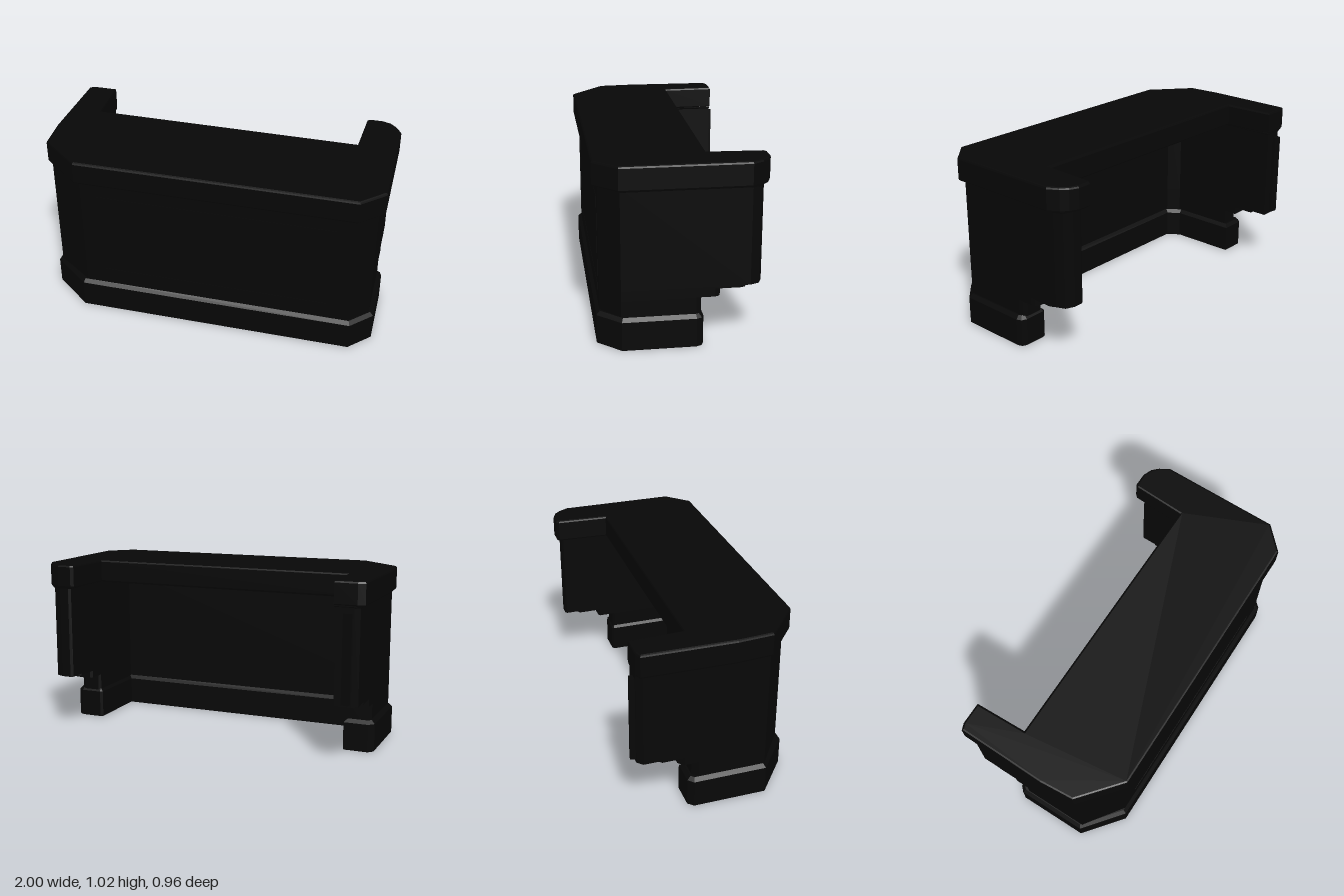
import * as THREE from 'three';

const material = new THREE.MeshStandardMaterial({ color: 0x070707 });

// Horizontal slab from a plan outline of [x, z] points, between two heights.
// The bevel stays inside the outline.
function slab(name, plan, y0, y1, bevel = 0, segments = 2) {
  const shape = new THREE.Shape(plan.map(([x, z]) => new THREE.Vector2(x, -z)));
  const geometry = new THREE.ExtrudeGeometry(shape, {
    depth: y1 - y0 - 2 * bevel,
    bevelEnabled: bevel > 0,
    bevelSize: bevel,
    bevelThickness: bevel,
    bevelOffset: -bevel,
    bevelSegments: segments,
  });
  geometry.rotateX(-Math.PI / 2);
  geometry.translate(0, y0 + bevel, 0);
  const mesh = new THREE.Mesh(geometry, material);
  mesh.name = name;
  return mesh;
}

// U-shaped plan: chamfered front corners and two arms reaching back,
// the left arm a little shorter and with a rounded outer corner.
function uPlan({ right, left, front, innerRight, innerLeft, innerZ, backRight, backLeft, round }) {
  return [
    [right, backRight + 0.03], [right + 0.03, backRight], [innerRight, backRight],
    [innerRight, innerZ - 0.07], [innerRight + 0.05, innerZ], [innerLeft, innerZ],
    [innerLeft, backLeft + 0.01], [innerLeft + 0.015, backLeft], [left - round, backLeft],
    [left - round * 0.3, backLeft + round * 0.3], [left, backLeft + round],
    [left, 0.34], [left - 0.12, front],
    [right + 0.23, front], [right, 0.28],
  ];
}

export function createModel() {
  const model = new THREE.Group();
  model.name = 'counter';

  // Plinth with a bevelled upper edge
  const plinth = uPlan({
    right: -0.985, left: 0.99, front: 0.465, innerRight: -0.81, innerLeft: 0.81,
    innerZ: 0.3, backRight: -0.17, backLeft: -0.1, round: 0.04,
  });
  model.add(slab('plinth', plinth, 0.003, 0.167, 0.005, 1));
  model.add(slab('plinthTop', plinth, 0.14, 0.187, 0.02, 1));

  // Body, stepping further back as it rises: y0, y1, backRight, backLeft, round
  const bodyPlan = (backRight, backLeft, round, grow = 0) => uPlan({
    right: -0.96 - grow, left: 0.963 + grow, front: 0.445 + grow,
    innerRight: -0.83 + grow, innerLeft: 0.825 - grow,
    innerZ: 0.32 - grow, backRight, backLeft, round,
  });
  const steps = [
    [0.15, 0.277, -0.14, -0.09, 0.03],
    [0.277, 0.322, -0.22, -0.19, 0.03],
    [0.322, 0.334, -0.345, -0.33, 0.03],
    [0.334, 0.9, -0.45, -0.42, 0.07],
  ];
  steps.forEach(([y0, y1, backRight, backLeft, round], i) =>
    model.add(slab('body' + (i + 1), bodyPlan(backRight, backLeft, round), y0, y1)));

  // Small flare moulding beneath the cap
  model.add(slab('capMoulding', bodyPlan(-0.452, -0.425, 0.07, 0.01), 0.874, 0.9, 0.01, 2));

  // Narrow upright rib on the back of the right arm
  const rib = new THREE.Mesh(new THREE.BoxGeometry(0.04, 0.5, 0.04), material);
  rib.name = 'backRib';
  rib.position.set(-0.9, 0.6, -0.457);
  rib.rotation.y = -0.2;
  model.add(rib);

  // Cap
  const cap = [
    [-0.99, -0.44], [-0.95, -0.455], [-0.82, -0.455], [-0.81, -0.15],
    [0.77, -0.135], [0.785, -0.44], [0.8, -0.455], [0.88, -0.455], [0.93, -0.435],
    [0.965, -0.4], [1, -0.34],
    [1, 0.35], [0.87, 0.477], [-0.75, 0.477], [-0.985, 0.28], [-1, 0.08],
  ];
  model.add(slab('cap', cap, 0.884, 1.022, 0.012, 2));

  // Slim frame of the front panel, almost flush with the body
  const rect = (Type, x0, x1, y0, y1) => new Type([
    [x0, y0], [x1, y0], [x1, y1], [x0, y1],
  ].map(([x, y]) => new THREE.Vector2(x, y)));
  const frameShape = rect(THREE.Shape, -0.645, 0.755, 0.265, 0.795);
  frameShape.holes.push(rect(THREE.Path, -0.62, 0.73, 0.29, 0.77));
  const frame = new THREE.Mesh(
    new THREE.ExtrudeGeometry(frameShape, { depth: 0.004, bevelEnabled: false }), material);
  frame.name = 'panelFrame';
  frame.position.z = 0.443;
  model.add(frame);

  return model;
}
